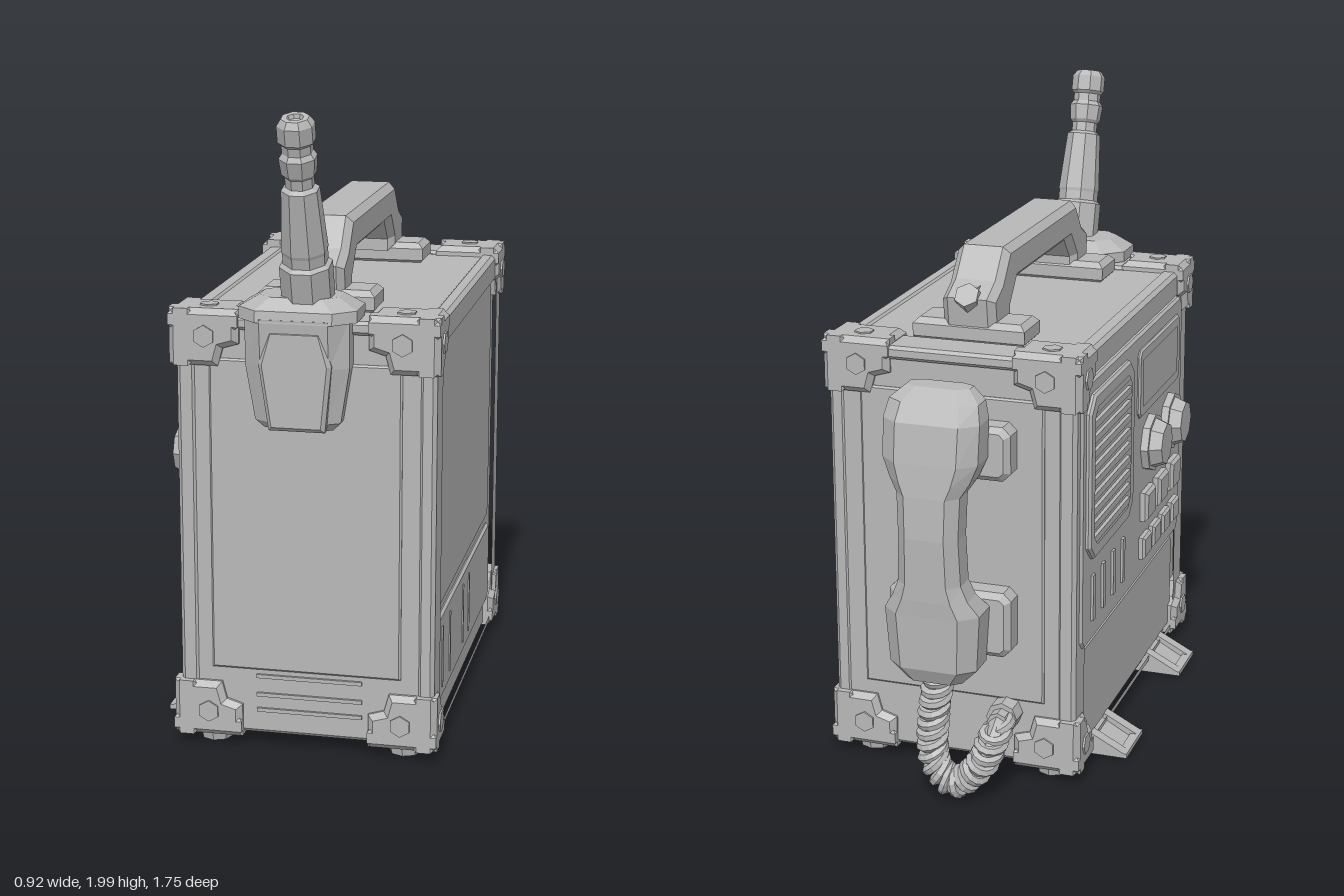
import * as THREE from 'three';

const shell = new THREE.MeshStandardMaterial({ color: 0xb8b8b8, flatShading: true });
shell.name = 'grey shell';

const CX = 0.04; // middle of the case across x

function add(parent, geometry, name) {
  const mesh = new THREE.Mesh(geometry, shell);
  mesh.name = name;
  parent.add(mesh);
  return mesh;
}

function box(parent, name, x0, x1, y0, y1, z0, z1) {
  const g = new THREE.BoxGeometry(x1 - x0, y1 - y0, z1 - z0);
  return add(parent, g.translate((x0 + x1) / 2, (y0 + y1) / 2, (z0 + z1) / 2), name);
}

// Bevelled slab. Outline is (x,y) for axis z, (z,y) for axis x, (x,z) for axis y.
function slab(parent, name, axis, outline, from, to, bevel = 0.01, holes = []) {
  const toV = ([u, v]) => new THREE.Vector2(axis === 'x' ? -u : u, v);
  const shape = new THREE.Shape(outline.map(toV));
  for (const h of holes) shape.holes.push(new THREE.Path(h.map(toV)));
  const [a, b] = axis === 'y' ? [-to, -from] : [from, to];
  const g = new THREE.ExtrudeGeometry(shape, {
    depth: b - a - 2 * bevel, bevelEnabled: bevel > 0, bevelThickness: bevel,
    bevelSize: bevel, bevelOffset: -bevel, bevelSegments: 1,
  });
  g.translate(0, 0, a + bevel);
  if (axis === 'x') g.rotateY(Math.PI / 2);
  if (axis === 'y') g.rotateX(Math.PI / 2);
  return add(parent, g, name);
}

const rect = (u0, u1, v0, v1, c = 0) => c
  ? [[u0 + c, v0], [u1 - c, v0], [u1, v0 + c], [u1, v1 - c], [u1 - c, v1], [u0 + c, v1], [u0, v1 - c], [u0, v0 + c]]
  : [[u0, v0], [u1, v0], [u1, v1], [u0, v1]];

// Cylinder lying along an axis
function disc(parent, name, axis, x, y, z, r, length, sides = 6, r2 = r) {
  const g = new THREE.CylinderGeometry(r2, r, length, sides);
  if (axis === 'x') g.rotateZ(Math.PI / 2);
  if (axis === 'z') g.rotateX(Math.PI / 2);
  return add(parent, g.translate(x, y, z), name);
}

// Stack of chamfered rectangles: [y, zBack, zFront, halfWidth]
function loft(parent, name, cx, sections) {
  const ring = [[1, -.5], [1, .5], [.65, 1], [-.65, 1], [-1, .5], [-1, -.5], [-.65, -1], [.65, -1]];
  const pos = [], idx = [], n = ring.length;
  for (const [y, z0, z1, w] of sections)
    for (const [u, v] of ring) pos.push(cx + u * w, y, (z0 + z1) / 2 + v * (z1 - z0) / 2);
  const last = (sections.length - 1) * n;
  for (let i = 0; i < last; i += n)
    for (let k = 0; k < n; k++) {
      const a = i + k, b = i + (k + 1) % n;
      idx.push(a, a + n, b, b, a + n, b + n);
    }
  for (let k = 1; k < n - 1; k++) idx.push(0, k, k + 1, last, last + k + 1, last + k);
  const g = new THREE.BufferGeometry();
  g.setAttribute('position', new THREE.Float32BufferAttribute(pos, 3));
  g.setIndex(idx);
  g.computeVertexNormals();
  return add(parent, g, name);
}

// Coil wound around a path lying close to one plane
class Coil extends THREE.Curve {
  constructor(path, radius, turns, normal) {
    super();
    Object.assign(this, { path, radius, turns, normal });
  }
  getPoint(t, target = new THREE.Vector3()) {
    const side = new THREE.Vector3().crossVectors(this.path.getTangentAt(t), this.normal).normalize();
    const a = t * this.turns * Math.PI * 2;
    return target.copy(this.path.getPointAt(t))
      .addScaledVector(this.normal, Math.cos(a) * this.radius)
      .addScaledVector(side, Math.sin(a) * this.radius);
  }
}

function group(root, name) {
  const g = new THREE.Group();
  g.name = name;
  root.add(g);
  return g;
}

export function createModel() {
  const root = new THREE.Group();
  root.name = 'fieldRadio';

  // Case with a raised frame on both sides
  const body = group(root, 'case');
  slab(body, 'caseCore', 'z', rect(-0.325, 0.42, 0.05, 1.36), -0.61, 0.665, 0.012);
  const frame = rect(-0.615, 0.672, 0.042, 1.367, 0.02);
  const opening = rect(-0.53, 0.575, 0.06, 1.3, 0.04);
  slab(body, 'leftFrame', 'x', frame, 0.39, 0.443, 0.012, [opening]);
  slab(body, 'rightFrame', 'x', frame, -0.35, -0.29, 0.012, [opening]);
  slab(body, 'leftPanel', 'x', rect(-0.51, 0.555, 0.44, 1.28, 0.03), 0.4, 0.428, 0.008);
  slab(body, 'leftLowerPanel', 'x', rect(-0.52, 0.565, 0.13, 0.41, 0.02), 0.4, 0.432, 0.008);
  for (const z of [0.46, 0.32, 0.06, -0.06]) box(body, 'leftRib', 0.43, 0.436, 0.17, 0.37, z - 0.005, z + 0.005);
  slab(body, 'frontPanel', 'z', rect(-0.25, 0.34, 0.26, 1.24), 0.65, 0.672, 0.006);
  slab(body, 'backPanel', 'z', rect(-0.25, 0.34, 0.26, 1.24), -0.618, -0.6, 0.006);
  for (const y of [0.13, 0.18, 0.24]) box(body, 'frontRib', -0.11, 0.22, y - 0.006, y + 0.006, 0.66, 0.673);
  for (const [z0, z1] of [[-0.625, -0.49], [0.53, 0.68]])
    slab(body, 'topBar', 'y', rect(-0.16, 0.25, z0, z1), 1.33, 1.372, 0.01);

  // Corner guards: one plate for each outer face, with hexagonal bolts
  const corners = group(root, 'cornerGuards');
  const guard = (cu, cv, su, sv, lu, lv) =>
    [[0, 0], [lu, 0], [lu, lv - 0.07], [lu - 0.05, lv - 0.055], [lu - 0.065, lv], [0, lv]]
      .map(([u, v]) => [cu + su * u, cv + sv * v]);
  for (const [x, sx] of [[-0.37, 1], [0.455, -1]])
    for (const [y, sy] of [[0.04, 1], [1.392, -1]])
      for (const [z, sz] of [[-0.635, 1], [0.692, -1]]) {
        const span = (p, s, d) => s > 0 ? [p, p + d] : [p - d, p];
        slab(corners, 'guardFace', 'z', guard(x, y, sx, sy, 0.215, 0.175), ...span(z, sz, 0.08), 0.018);
        slab(corners, 'guardSide', 'x', guard(z, y, sz, sy, 0.16, 0.175), ...span(x, sx, 0.08), 0.018);
        slab(corners, 'guardCap', 'y', rect(...span(x, sx, 0.215), ...span(z, sz, 0.16)), ...span(y, sy, 0.07), 0.018);
        const bx = x + sx * 0.112, by = y + sy * 0.082, bz = z + sz * 0.072;
        disc(corners, 'bolt', 'z', bx, by, z, 0.034, 0.012);
        disc(corners, 'bolt', 'x', x, by, bz, 0.034, 0.012);
        disc(corners, 'bolt', 'y', bx, y, bz, 0.03, 0.01);
        if (sy > 0) disc(corners, 'foot', 'y', bx, 0.027, bz + sz * 0.025, 0.05, 0.045, 8, 0.06);
      }

  // Carrying handle
  const handle = group(root, 'handle');
  slab(handle, 'grip', 'x', [
    [0.49, 1.4], [0.505, 1.5], [0.43, 1.54], [0.36, 1.63], [-0.33, 1.63], [-0.405, 1.54], [-0.485, 1.5], [-0.47, 1.4],
    [-0.31, 1.4], [-0.31, 1.44], [-0.25, 1.51], [0.29, 1.51], [0.35, 1.44], [0.35, 1.4],
  ], CX - 0.085, CX + 0.085, 0.022);
  for (const [z, s] of [[0.42, 1], [-0.4, -1]]) {
    slab(handle, 'handleMount', 'y', rect(CX - 0.18, CX + 0.18, z - 0.075, z + 0.075), 1.35, 1.425, 0.018);
    const pin = disc(handle, 'handleBolt', 'z', 0, 0, 0, 0.04, 0.04);
    pin.position.set(CX, 1.5, z + s * 0.07);
    pin.rotation.x = -s * 0.7;
    box(handle, 'handleTab', CX - 0.025, CX + 0.025, 1.42, 1.53, z + s * 0.05 - 0.02, z + s * 0.05 + 0.02);
  }

  // Aerial on its front bracket, leaning forward
  const aerial = group(root, 'aerial');
  loft(aerial, 'bracket', 0.033, [
    [1.045, 0.64, 0.72, 0.105], [1.07, 0.62, 0.74, 0.13], [1.24, 0.6, 0.755, 0.158], [1.385, 0.56, 0.77, 0.158],
  ]);
  slab(aerial, 'bracketPlate', 'z', [
    [-0.045, 1.05], [0.125, 1.05], [0.145, 1.25], [0.115, 1.355], [-0.045, 1.355], [-0.075, 1.25],
  ], 0.72, 0.768, 0.012);
  loft(aerial, 'bracketCap', 0.033, [[1.375, 0.53, 0.77, 0.178], [1.41, 0.53, 0.765, 0.178], [1.445, 0.57, 0.73, 0.12]]);
  const profile = [[0, 0], [.08, 0], [.08, .16], [.068, .17], [.068, .2], [.07, .21], [.057, .4], [.043, .41], [.043, .44],
    [.052, .45], [.057, .5], [.046, .515], [.046, .54], [.056, .55], [.056, .6], [.042, .62], [.025, .62], [.02, .608], [0, .608]];
  const mast = add(aerial, new THREE.LatheGeometry(profile.map(p => new THREE.Vector2(...p)), 8, Math.PI / 8), 'mast');
  mast.position.set(0.057, 1.39, 0.655);
  mast.rotation.x = 0.285;

  // Telephone handset, its clips and coiled cord
  const phone = group(root, 'handset');
  loft(phone, 'receiver', 0.05, [
    [0.37, -0.8, -0.7, 0.09], [0.42, -0.825, -0.65, 0.14], [0.6, -0.836, -0.645, 0.152], [0.65, -0.84, -0.69, 0.12],
    [0.7, -0.842, -0.7, 0.1], [0.85, -0.848, -0.705, 0.095], [0.98, -0.842, -0.7, 0.1], [1.02, -0.838, -0.665, 0.125],
    [1.08, -0.832, -0.65, 0.15], [1.2, -0.815, -0.648, 0.152], [1.255, -0.785, -0.648, 0.14], [1.29, -0.73, -0.655, 0.1],
  ]);
  for (const [y0, y1] of [[1.0, 1.17], [0.43, 0.64]])
    slab(phone, 'clip', 'z', rect(-0.165, 0.23, y0, y1, 0.025), -0.695, -0.6, 0.018);
  const plug = [-0.13, 0.22];
  disc(phone, 'socket', 'z', ...plug, -0.64, 0.05, 0.06, 8);
  disc(phone, 'plug', 'z', ...plug, -0.68, 0.034, 0.06, 8);
  const path = new THREE.CatmullRomCurve3([
    [0.05, 0.38, -0.73], [0.055, 0.24, -0.775], [0.035, 0.12, -0.815], [-0.03, 0.065, -0.83],
    [-0.1, 0.11, -0.8], [-0.13, 0.19, -0.74], [-0.13, 0.22, -0.69],
  ].map(p => new THREE.Vector3(...p)));
  const coil = new Coil(path, 0.036, 19, new THREE.Vector3(0, 0.3, 0.95).normalize());
  add(phone, new THREE.TubeGeometry(coil, 240, 0.017, 6), 'cord');
  add(phone, new THREE.TubeGeometry(path, 24, 0.03, 6), 'cordCore');

  // Control panel on the right side
  const panel = group(root, 'controlPanel');
  slab(panel, 'panelPlate', 'x', rect(-0.575, 0.58, 0.43, 1.28, 0.03), -0.358, -0.3, 0.008);
  slab(panel, 'lowerPlate', 'x', rect(-0.52, 0.565, 0.07, 0.41, 0.02), -0.34, -0.3, 0.008);
  slab(panel, 'speakerFrame', 'x', rect(-0.54, -0.06, 0.71, 1.24, 0.05), -0.374, -0.34, 0.008,
    [rect(-0.505, -0.095, 0.745, 1.205, 0.035)]);
  for (let i = 0; i < 10; i++) {
    const y = 0.767 + i * 0.0465;
    box(panel, 'speakerSlat', -0.37, -0.34, y - 0.011, y + 0.011, -0.51, -0.09);
  }
  for (let i = 0; i < 4; i++) box(panel, 'slot', -0.366, -0.34, 0.5, 0.65, -0.48 + i * 0.11, -0.455 + i * 0.11);
  slab(panel, 'screenFrame', 'x', rect(0.02, 0.52, 1.0, 1.23, 0.02), -0.368, -0.34, 0.006,
    [rect(0.055, 0.485, 1.03, 1.2)]);
  for (const z of [0.165, 0.41]) {
    disc(panel, 'knobBase', 'x', -0.368, 0.88, z, 0.098, 0.03, 8);
    disc(panel, 'knob', 'x', -0.4, 0.88, z, 0.088, 0.045, 8, 0.07);
  }
  for (let i = 0; i < 3; i++) {
    const z = 0.13 + i * 0.16;
    slab(panel, 'button', 'x', rect(z - 0.055, z + 0.055, 0.63, 0.73), -0.385, -0.34, 0.01);
  }
  for (let i = 0; i < 4; i++) {
    const z = 0.11 + i * 0.12;
    slab(panel, 'smallButton', 'x', rect(z - 0.045, z + 0.045, 0.5, 0.575), -0.38, -0.34, 0.008);
  }

  // Splayed stands under the right side
  const stands = group(root, 'stands');
  for (const z of [0.345, -0.315]) {
    const wedge = [[-0.335, 0.085], [-0.46, 0.02], [-0.46, 0.01], [-0.25, 0.01], [-0.25, 0.085]];
    for (const s of [-1, 1]) slab(stands, 'standCheek', 'z', wedge, z + s * 0.075 - 0.02, z + s * 0.075 + 0.02, 0);
    slab(stands, 'standWeb', 'z', [[-0.33, 0.07], [-0.435, 0.012], [-0.25, 0.012], [-0.25, 0.07]], z - 0.06, z + 0.06, 0);
    box(stands, 'standLip', -0.46, -0.43, 0.01, 0.025, z - 0.095, z + 0.095);
  }
  return root;
}
